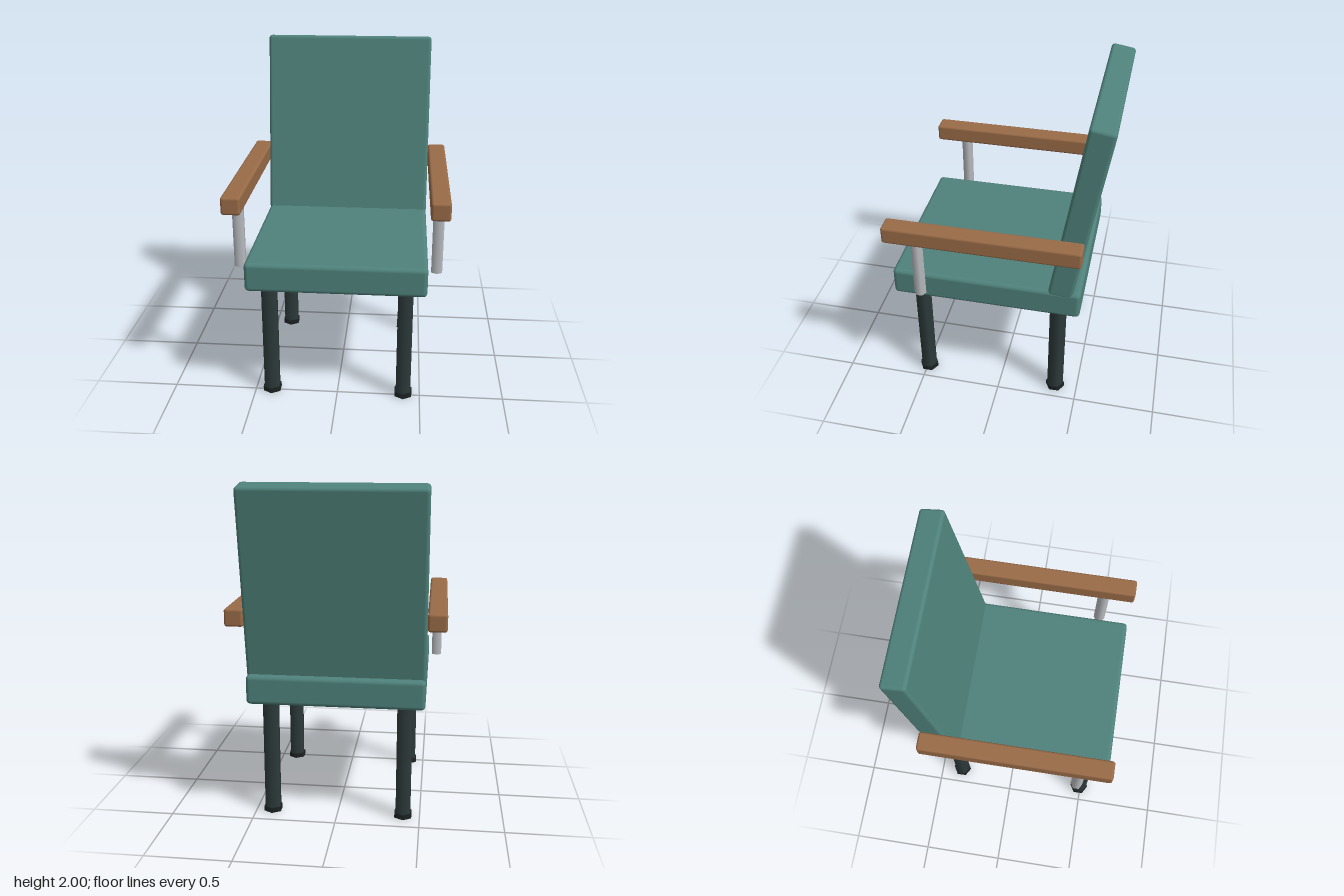
import * as THREE from 'three';
import { RoundedBoxGeometry } from 'three/addons/geometries/RoundedBoxGeometry.js';

const material = (name, color) => {
  const m = new THREE.MeshStandardMaterial({ color });
  m.name = name;
  return m;
};

export function createModel() {
  const chair = new THREE.Group();
  chair.name = 'armchair';

  const teal = material('teal upholstery', 0x4f827b);
  const wood = material('brown wood', 0x996b47);
  const dark = material('dark leg', 0x2d3a3a);
  const black = material('black foot', 0x1c2222);
  const metal = material('grey metal', 0xb9bcc0);

  const add = (name, geometry, mat, x, y, z) => {
    const mesh = new THREE.Mesh(geometry, mat);
    mesh.name = name;
    mesh.position.set(x, y, z);
    chair.add(mesh);
    return mesh;
  };
  // Six-sided post standing between two heights
  const post = (name, radius, y0, y1, mat, x, z) =>
    add(name, new THREE.CylinderGeometry(radius, radius, y1 - y0, 6), mat, x, (y0 + y1) / 2, z);

  // Seat cushion
  add('seat', new RoundedBoxGeometry(1.04, 0.175, 1.13, 3, 0.025), teal, 0, 0.8125, 0.065);

  // Backrest, leaning backwards from inside the seat
  const tilt = 0.16, bottom = 0.87, top = 1.992;
  const midY = (bottom + top) / 2;
  const back = add('backrest',
    new RoundedBoxGeometry(1.04, (top - bottom) / Math.cos(tilt), 0.145, 3, 0.02),
    teal, 0, midY, -0.384 - (midY - 0.9) * Math.tan(tilt));
  back.rotation.x = -tilt;

  for (const [side, s] of [['left', 1], ['right', -1]]) {
    // Armrest and its support
    add(side + 'Armrest', new RoundedBoxGeometry(0.11, 0.105, 1.135, 3, 0.015), wood, s * 0.576, 1.242, 0.062);
    post(side + 'ArmrestPost', 0.036, 0.808, 1.21, metal, s * 0.573, 0.443);

    // Legs with slightly wider feet
    for (const [end, z] of [['Front', 0.49], ['Back', -0.36]]) {
      post(side + end + 'Leg', 0.051, 0.02, 0.76, dark, s * 0.4, z);
      post(side + end + 'Foot', 0.059, 0, 0.03, black, s * 0.4, z);
    }
  }
  return chair;
}
